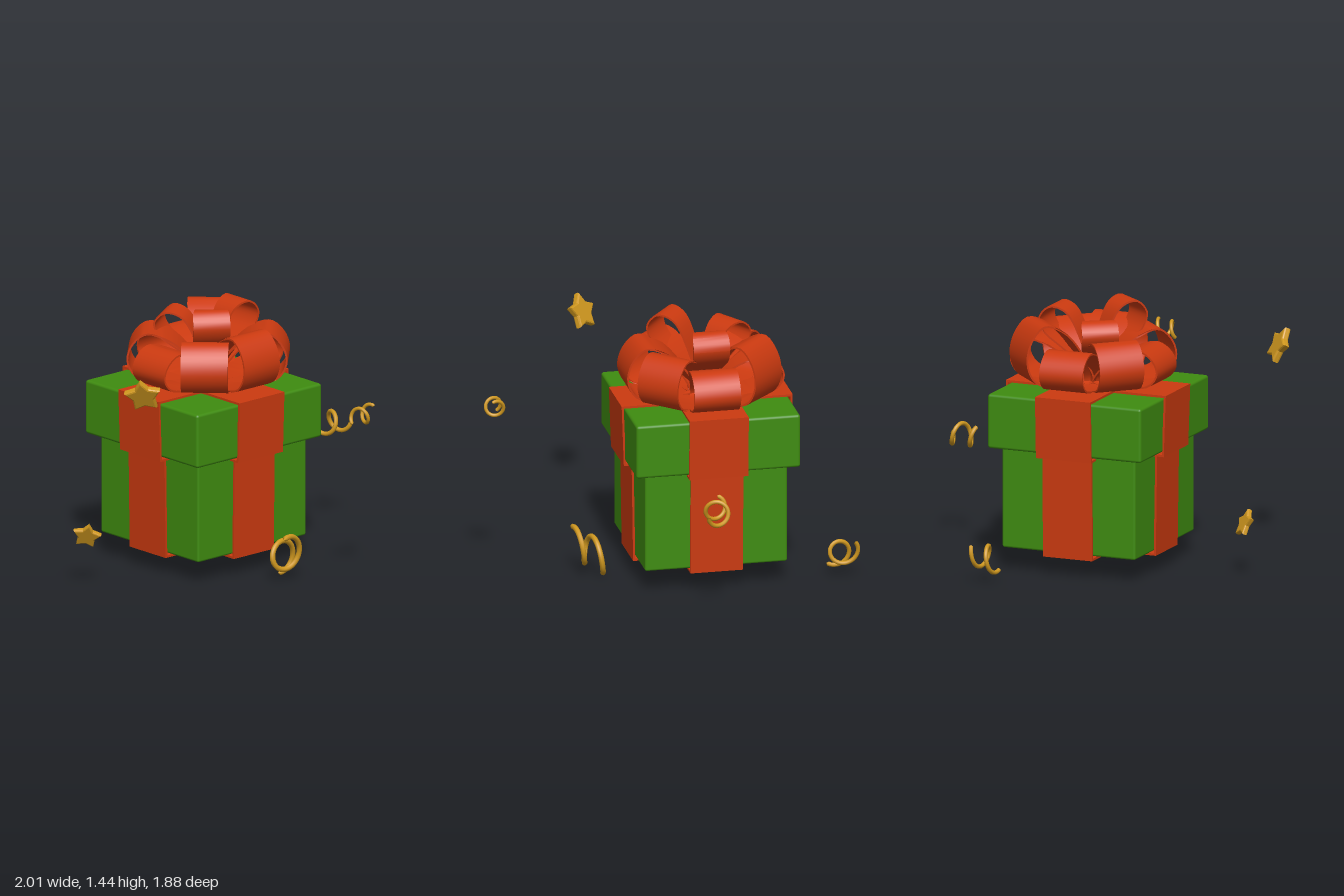
import * as THREE from 'three';
import { toCreasedNormals } from 'three/addons/utils/BufferGeometryUtils.js';
import { RoundedBoxGeometry } from 'three/addons/geometries/RoundedBoxGeometry.js';

const V2 = (x, y) => new THREE.Vector2(x, y);
const V3 = (x, y, z) => new THREE.Vector3(x, y, z);

function material(name, color) {
  const m = new THREE.MeshStandardMaterial({ color });
  m.name = name;
  return m;
}

function add(parent, name, geometry, mat) {
  const mesh = new THREE.Mesh(geometry, mat);
  mesh.name = name;
  parent.add(mesh);
  return mesh;
}

// Closed outline with a matching hole, extruded symmetrically about z = 0
function frame(outer, inner, width) {
  const shape = new THREE.Shape(outer);
  shape.holes.push(new THREE.Path(inner));
  const g = new THREE.ExtrudeGeometry(shape, { depth: width, bevelEnabled: false });
  return g.translate(0, 0, -width / 2);
}

// Strap around a box with slightly slanted sides
function strap(bottomHalf, topHalf, y0, y1, t, width) {
  const outline = (d) => [
    V2(-bottomHalf + d, y0 + d), V2(bottomHalf - d, y0 + d),
    V2(topHalf - d, y1 - d), V2(-topHalf + d, y1 - d),
  ];
  return frame(outline(0), outline(t), width);
}

// Ribbon loop: a thin teardrop band that narrows towards the knot
function bowLoop(points, width) {
  const curve = new THREE.CatmullRomCurve3(points.map(([x, y]) => V3(x, y, 0)), true);
  const pts = curve.getSpacedPoints(44).slice(0, -1);
  const n = pts.length;
  const outer = pts.map((p) => V2(p.x, p.y));
  const inner = pts.map((p, i) => {
    const t = pts[(i + 1) % n].clone().sub(pts[(i + n - 1) % n]).normalize();
    return V2(p.x - t.y * 0.01, p.y + t.x * 0.01);
  });
  const g = frame(outer, inner, width);
  const pos = g.attributes.position;
  for (let i = 0; i < pos.count; i++) {
    const k = THREE.MathUtils.clamp(0.45 + pos.getX(i) * 2.2, 0.45, 1);
    pos.setZ(i, pos.getZ(i) * k);
  }
  return toCreasedNormals(g, 0.7);
}

// Curl running from one centre to another while turning about the axis
function curl(from, to, u, v, radius, startDeg, turns, thick) {
  const pts = [];
  for (let i = 0; i <= 32; i++) {
    const t = i / 32;
    const a = THREE.MathUtils.degToRad(startDeg) + t * turns * Math.PI * 2;
    pts.push(from.clone().lerp(to, t)
      .addScaledVector(u, radius * Math.cos(a))
      .addScaledVector(v, radius * Math.sin(a)));
  }
  const path = new THREE.CatmullRomCurve3(pts);
  const tube = new THREE.TubeGeometry(path, 70, thick, 8);
  // Close both ends to a point
  const pos = tube.attributes.position;
  for (let j = 0; j <= 8; j++) {
    pos.setXYZ(j, ...pts[0].toArray());
    pos.setXYZ(70 * 9 + j, ...pts[32].toArray());
  }
  return tube;
}

// Puffy five-pointed star
function starGeometry(radius) {
  const shape = new THREE.Shape();
  for (let i = 0; i < 10; i++) {
    const a = Math.PI / 2 + (i * Math.PI) / 5;
    const r = radius * (i % 2 ? 0.52 : 0.9);
    shape[i ? 'lineTo' : 'moveTo'](r * Math.cos(a), r * Math.sin(a));
  }
  shape.closePath();
  const b = radius * 0.1;
  const g = new THREE.ExtrudeGeometry(shape, {
    depth: radius * 0.2, bevelThickness: b, bevelSize: b, bevelSegments: 2,
  });
  return g.translate(0, 0, -radius * 0.1);
}

export function createModel() {
  const model = new THREE.Group();
  model.name = 'giftBox';
  const green = material('green paper', 0x3f8c10);
  const red = material('red ribbon', 0xcc3a10);
  const gold = material('gold confetti', 0xd0981f);

  const box = new THREE.Group();
  box.name = 'box';
  box.position.x = -0.215;
  model.add(box);

  // Box and lid
  add(box, 'boxBody', new RoundedBoxGeometry(0.785, 0.59, 0.785, 2, 0.012), green).position.y = 0.42;
  add(box, 'lid', new RoundedBoxGeometry(0.905, 0.3, 0.905, 2, 0.015), green).position.y = 0.83;

  // Crossing straps on box and lid
  for (const turn of [0, Math.PI / 2]) {
    add(box, 'bodyStrap', strap(0.405, 0.414, 0.1, 0.7, 0.012, 0.29), red).rotation.y = turn;
    add(box, 'lidStrap', strap(0.46, 0.472, 0.655, 0.995, 0.012, 0.325), red).rotation.y = turn;
  }

  // Bow
  const bow = new THREE.Group();
  bow.name = 'bow';
  bow.position.set(0.005, 1, -0.03);
  box.add(bow);
  const low = [[0.02, 0], [0.3, 0.005], [0.39, 0.03], [0.435, 0.1], [0.41, 0.18],
    [0.33, 0.235], [0.2, 0.2], [0.07, 0.09]];
  // Angle in degrees from +x towards the back, then height factor
  const lowerLoops = [[0, 1.33], [45, 1.24], [90, 0.97], [135, 1.5],
    [180, 0.95], [225, 1.18], [270, 0.93], [315, 1.22]];
  for (const [deg, h] of lowerLoops) {
    const g = bowLoop(low.map(([x, y]) => [x, y * h]), 0.255);
    add(bow, 'lowerLoop', g, red).rotation.y = THREE.MathUtils.degToRad(deg);
  }
  const high = [[0.01, 0.08], [0.17, 0.19], [0.26, 0.27], [0.28, 0.34],
    [0.22, 0.405], [0.13, 0.38], [0.05, 0.24]];
  for (const [deg, h] of [[90, 1.01], [212, 0.92], [322, 1.08]]) {
    const g = bowLoop(high.map(([x, y]) => [x, y * h]), 0.2);
    add(bow, 'upperLoop', g, red).rotation.y = THREE.MathUtils.degToRad(deg);
  }

  // Stars leaning forward
  for (const [x, y, z, r, roll] of [[0.255, 1.18, 0.86, 0.1, 0.15], [-0.2, 0.29, 0.86, 0.077, -0.2]]) {
    const star = add(model, 'star', starGeometry(r), gold);
    star.position.set(x, y, z);
    star.rotation.set(0.45, 0.75, roll, 'YXZ');
  }

  // Curled streamers
  const X = V3(1, 0, 0), Y = V3(0, 1, 0), backZ = V3(0, 0, -1);
  const curls = [
    [V3(0.95, 1.035, -0.17), V3(0.95, 1.025, -0.05), X, Y, 0.045, 60, 1.5, 0.01],
    [V3(-0.935, 0.165, -0.41), V3(-0.885, 0.115, -0.3), X, Y, 0.065, 130, 1.5, 0.012],
    [V3(0.485, 0.18, 0.005), V3(0.335, 0.1, -0.055), backZ, Y, 0.085, 120, -1.6, 0.015],
    [V3(-0.115, 0.605, -0.93), V3(-0.125, 0.605, -0.745), X, Y, 0.058, 0, -1.7, 0.012],
  ];
  for (const c of curls) add(model, 'streamer', curl(...c), gold);

  return model;
}
